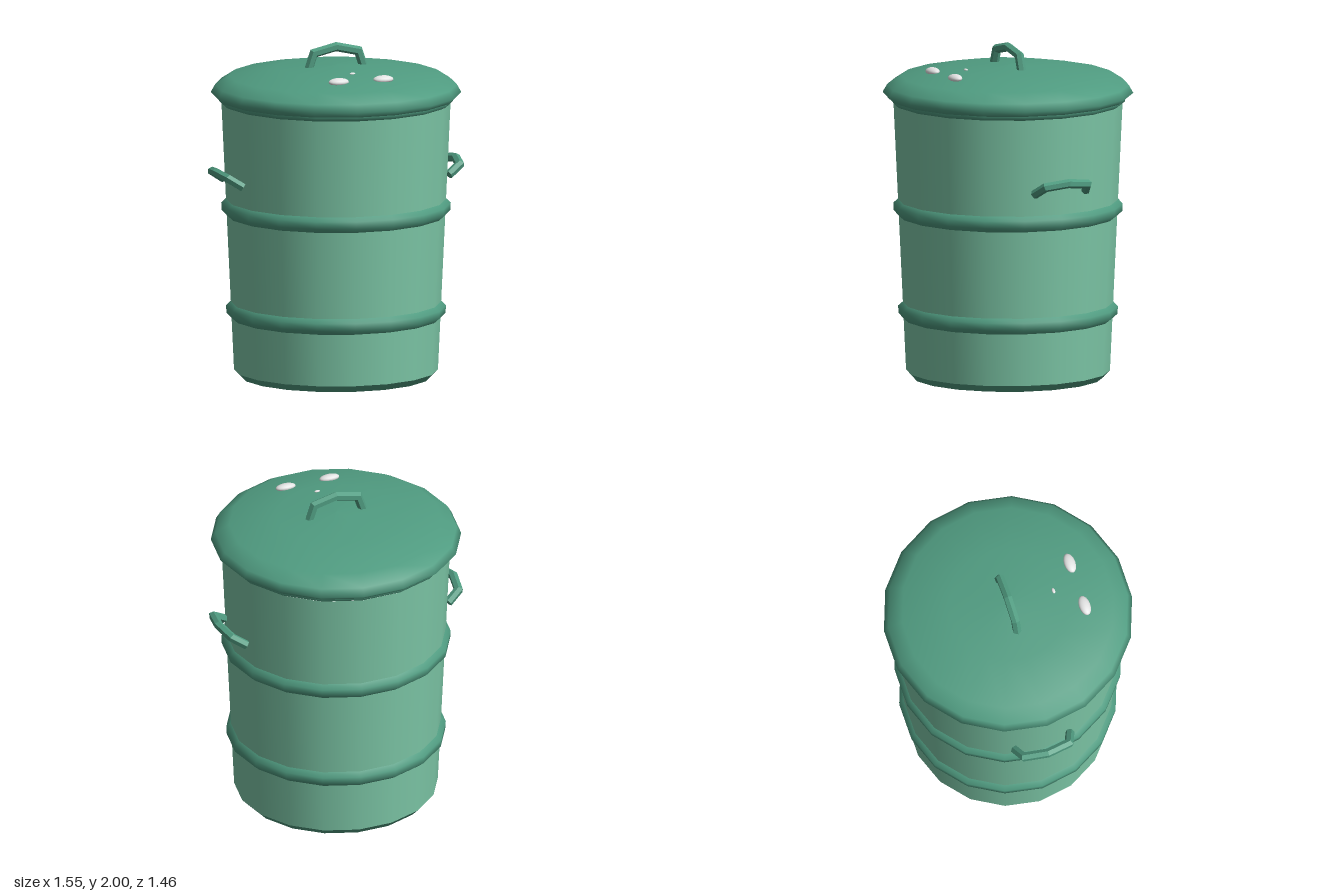
import * as THREE from 'three';

const SIDES = 18;

const lightGreen = new THREE.MeshStandardMaterial({ color: 0x7cc6a6 });
lightGreen.name = 'light green';
const darkGreen = new THREE.MeshStandardMaterial({ color: 0x509c81 });
darkGreen.name = 'dark green';
const offWhite = new THREE.MeshStandardMaterial({ color: 0xe4e4e4 });
offWhite.name = 'off white';

function add(parent, name, geometry, material) {
  const mesh = new THREE.Mesh(geometry, material);
  mesh.name = name;
  parent.add(mesh);
  return mesh;
}

// Eighteen-sided ring of revolution, with a corner on the x axis
function turned(profile) {
  const points = profile.map(([r, y]) => new THREE.Vector2(r, y));
  return new THREE.LatheGeometry(points, SIDES, Math.PI / 2);
}

// Radius of the tapering wall at a height
const wallRadius = (y) => 0.602 + (y - 0.04) * 0.0465;

// Six-sided bar swept along a bent path in the xy plane, with mitred corners
function handleGeometry(path, radius) {
  const pts = path.map(([x, y]) => new THREE.Vector2(x, y));
  const dirs = pts.slice(1).map((p, i) => p.clone().sub(pts[i]).normalize());
  const positions = [];
  const index = [];
  pts.forEach((p, i) => {
    const before = dirs[Math.max(i - 1, 0)];
    const after = dirs[Math.min(i, dirs.length - 1)];
    const along = before.clone().add(after).normalize();
    const stretch = 1 / along.dot(before);
    for (let k = 0; k < 6; k++) {
      const a = (k * Math.PI) / 3;
      const n = Math.cos(a) * radius * stretch;
      positions.push(p.x - along.y * n, p.y + along.x * n, Math.sin(a) * radius);
    }
  });
  for (let i = 0; i < dirs.length; i++) {
    for (let k = 0; k < 6; k++) {
      const a = i * 6 + k;
      const b = i * 6 + ((k + 1) % 6);
      index.push(a, b, a + 6, b, b + 6, a + 6);
    }
  }
  // End caps
  const last = dirs.length * 6;
  for (let k = 1; k < 5; k++) {
    index.push(0, k + 1, k, last, last + k, last + k + 1);
  }
  const geometry = new THREE.BufferGeometry();
  geometry.setAttribute('position', new THREE.Float32BufferAttribute(positions, 3));
  geometry.setIndex(index);
  const faceted = geometry.toNonIndexed();
  faceted.computeVertexNormals();
  return faceted;
}

export function createModel() {
  const model = new THREE.Group();
  model.name = 'lidded bin';

  // Wall and base
  add(model, 'wall', turned([[wallRadius(0.04), 0.04], [wallRadius(1.64), 1.64]]), lightGreen);
  add(model, 'baseEdge', turned([[0.565, 0], [wallRadius(0.04), 0.04]]), darkGreen);
  add(model, 'baseDisc', turned([[0, 0], [0.565, 0]]), darkGreen);

  // Raised hoops around the wall
  for (const [name, y] of [['lowerHoop', 0.35], ['upperHoop', 0.965]]) {
    const outer = wallRadius(y + 0.05) + 0.028;
    add(model, name, turned([
      [wallRadius(y) - 0.002, y], [outer, y + 0.028],
      [outer + 0.002, y + 0.072], [wallRadius(y + 0.098) - 0.002, y + 0.098],
    ]), darkGreen);
  }

  // Rim and lid
  add(model, 'rim', turned([[0.672, 1.638], [0.692, 1.65], [0.692, 1.67]]), darkGreen);
  add(model, 'lidUnderside', turned([[0.66, 1.667], [0.7, 1.667]]), darkGreen);
  add(model, 'lid', turned([
    [0.7, 1.667], [0.74, 1.7], [0.714, 1.746], [0.63, 1.8], [0.35, 1.852], [0, 1.865],
  ]), darkGreen);

  // Handles on the lid and on both sides
  const handle = handleGeometry(
    [[0.172, -0.005], [0.14, 0.09], [0, 0.122], [-0.14, 0.09], [-0.172, -0.005]], 0.027);
  add(model, 'lidHandle', handle, darkGreen).position.y = 1.85;
  for (const side of [1, -1]) {
    const mesh = add(model, side > 0 ? 'leftHandle' : 'rightHandle', handle, darkGreen);
    mesh.position.set(side * 0.65, 1.197, 0);
    mesh.rotation.set(0, Math.PI / 2, -side * 1.0, 'ZYX');
  }

  // Pale spots half sunk into the lid
  const ball = new THREE.SphereGeometry(1, 16, 10);
  const spots = [
    ['leftEye', 0.14, 1.839, 0.43, 0.063, 0.022, 0.035],
    ['rightEye', -0.14, 1.839, 0.43, 0.063, 0.022, 0.035],
    ['nose', 0, 1.856, 0.283, 0.018, 0.007, 0.01],
  ];
  for (const [name, x, y, z, sx, sy, sz] of spots) {
    const spot = add(model, name, ball, offWhite);
    spot.position.set(x, y, z);
    spot.scale.set(sx, sy, sz);
    spot.rotation.x = 0.19;
  }

  return model;
}
